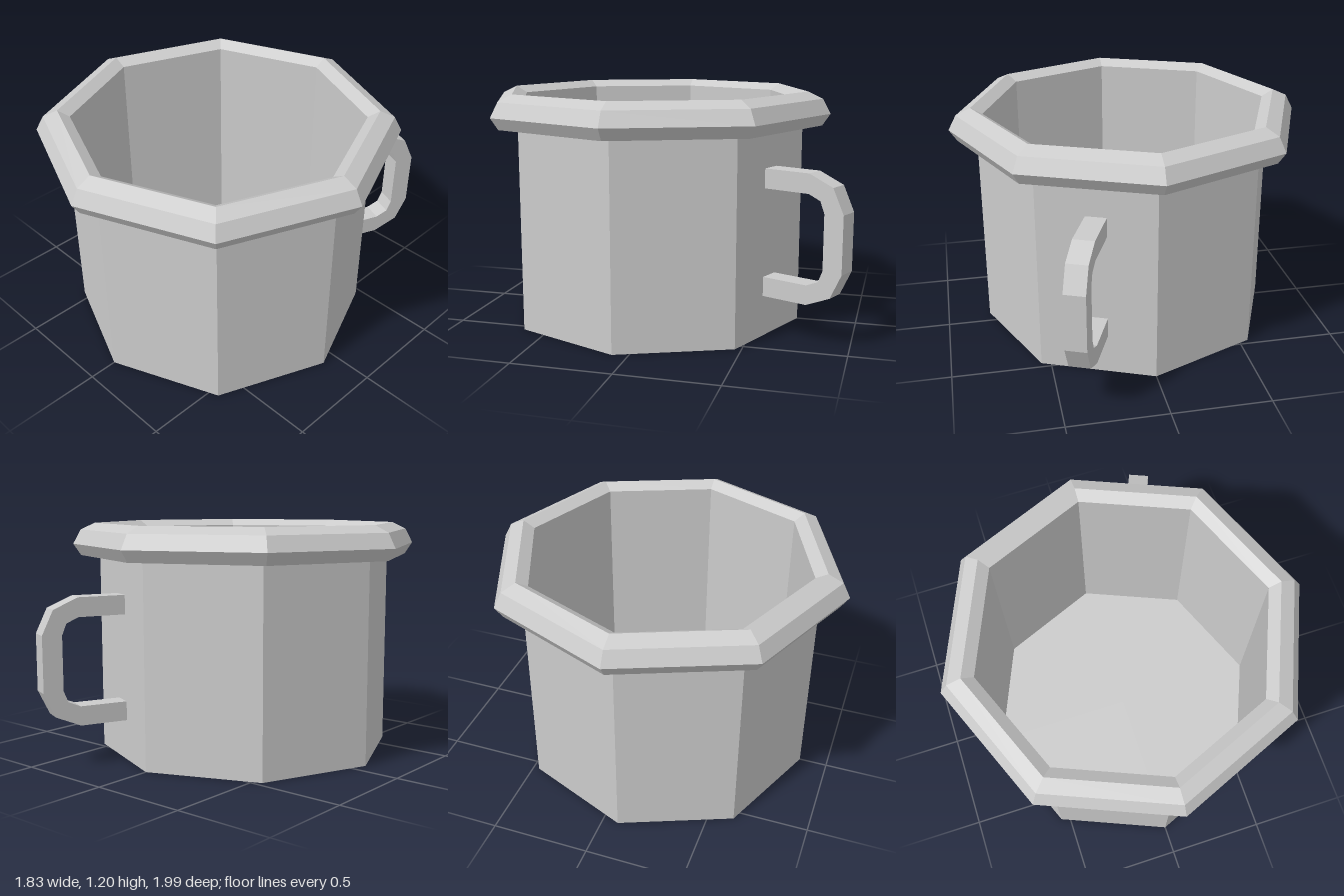
import * as THREE from 'three';

const SIDES = 8;
const material = new THREE.MeshStandardMaterial({ color: 0xcccccc, flatShading: true });

function addMesh(parent, name, geometry) {
  const mesh = new THREE.Mesh(geometry, material);
  mesh.name = name;
  parent.add(mesh);
  return mesh;
}

// Octagonal turned part from [radius, height] pairs, one corner facing +z
function turned(profile) {
  return new THREE.LatheGeometry(profile.map(([r, y]) => new THREE.Vector2(r, y)), SIDES);
}

export function createModel() {
  const group = new THREE.Group();
  group.name = 'mug';

  // Octagonal axis sits slightly forward to balance the handle
  const vessel = new THREE.Group();
  vessel.name = 'vessel';
  vessel.position.z = 0.08;
  group.add(vessel);

  // Closed base and outer wall
  addMesh(vessel, 'outerWall', turned([[0, 0], [0.775, 0], [0.775, 1.06]]));

  // Bevelled overhanging rim
  addMesh(vessel, 'rim', turned([
    [0.775, 1.06], [0.82, 1.06], [0.875, 1.03], [0.915, 1.09],
    [0.875, 1.165], [0.8, 1.2], [0.74, 1.165],
  ]));

  // Inner wall and floor
  addMesh(vessel, 'interior', turned([[0.74, 1.165], [0.74, 0.035], [0, 0.035]]));

  // Handle: upper half of each outline [distance from axis, height], mirrored about its middle
  const middle = 0.529;
  const outer = [[0.705, 0.85], [0.958, 0.85], [1.085, 0.795], [1.143, 0.672]];
  const inner = [[0.705, 0.752], [0.958, 0.752], [1.02, 0.725], [1.043, 0.667]];
  const withMirror = (half) => [
    ...half,
    ...half.map(([r, y]) => [r, 2 * middle - y]).reverse(),
  ];
  const outline = [...withMirror(outer), ...withMirror(inner).reverse()];
  const width = 0.105;
  const handleGeometry = new THREE.ExtrudeGeometry(
    new THREE.Shape(outline.map(([r, y]) => new THREE.Vector2(r, y))),
    { depth: width, bevelEnabled: false },
  );
  handleGeometry.translate(0, 0, -width / 2);

  // Points out through the middle of the rear face on the +x side
  addMesh(vessel, 'handle', handleGeometry).rotation.y = Math.PI * 3 / 8;

  return group;
}
